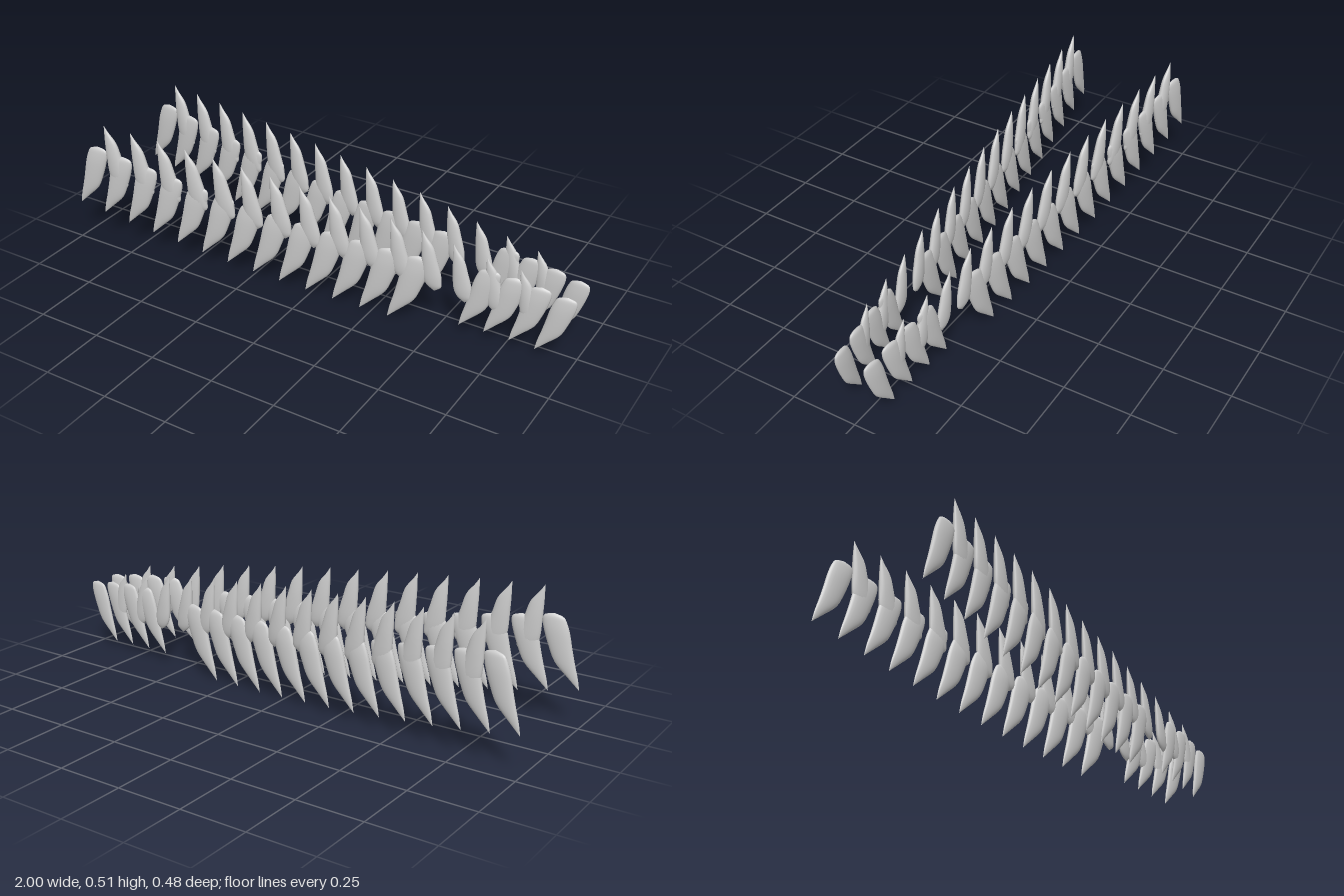
import * as THREE from 'three';

// Outline rows in hundredths of a unit from the tip at (0, 0): [left, right, y, half thickness]
const HANGING = [
  [0, 0, 0, 0], [0.8, 4.6, 4.3, 0.65], [2.1, 9.4, 9.1, 1.15], [3.4, 11.9, 14.4, 1.4],
  [4.6, 13.8, 19.8, 1.45], [5.9, 14.6, 23.5, 1.2], [7.3, 14.1, 25.6, 0.8], [10.6, 11, 26.6, 0],
];
const RISING = [
  [5.2, 5.5, -23.2, 0], [2.6, 7.8, -21.4, 0.8], [1.2, 8, -19.2, 1.2], [0.5, 7.6, -16, 1.4],
  [0.2, 6, -10.7, 1.4], [0, 4.4, -5.9, 1.05], [0, 1.6, -2.4, 0.5], [0, 0, 0, 0],
];

// Lofts flattened elliptical rings through a smoothed outline
function toothGeometry(rows) {
  const left = new THREE.CatmullRomCurve3(rows.map(r => new THREE.Vector3(r[0], r[2], r[3])), false, 'catmullrom');
  const right = new THREE.CatmullRomCurve3(rows.map(r => new THREE.Vector3(r[1], r[2], r[3])), false, 'catmullrom');
  const rings = 24, sides = 18, pos = [], index = [];
  for (let i = 0; i <= rings; i++) {
    const l = left.getPoint(i / rings), r = right.getPoint(i / rings);
    for (let j = 0; j < sides; j++) {
      const a = (j / sides) * Math.PI * 2;
      pos.push(
        ((l.x + r.x) / 2 + ((r.x - l.x) / 2) * Math.cos(a)) / 100,
        l.y / 100,
        (Math.max(l.z, 0) * Math.sin(a)) / 100);
      if (i === rings) continue;
      const k = (j + 1) % sides, p = i * sides, q = p + sides;
      index.push(p + j, q + j, p + k, q + j, q + k, p + k);
    }
  }
  const g = new THREE.BufferGeometry();
  g.setAttribute('position', new THREE.Float32BufferAttribute(pos, 3));
  g.setIndex(index);
  g.computeVertexNormals();
  return g;
}

export function createModel() {
  const model = new THREE.Group();
  const material = new THREE.MeshStandardMaterial({ color: 0xcccccc, roughness: 0.7 });
  const hanging = toothGeometry(HANGING), rising = toothGeometry(RISING);

  // Each row: tip positions from back to front, z line (base, slope), size range
  const rows = [
    { name: 'upperLongRow', tooth: hanging, count: 13, x: [-1, 0.315], y: [0.155, 0.055, 0.008], z: [0.139, 0.094], size: [1, 1.07] },
    { name: 'lowerLongRow', tooth: rising, count: 12, x: [-0.857, 0.437], y: [0.518, 0.475, 0.4], z: [0.139, 0.094], size: [1.12, 1] },
    { name: 'upperShortRow', tooth: hanging, count: 4, x: [0.588, 0.866], y: [0.056, 0.053, 0.043], z: [0.134, 0.078], size: [0.97, 0.9] },
    { name: 'lowerShortRow', tooth: rising, count: 3, x: [0.554, 0.796], y: [0.378, 0.361, 0.345], z: [0.134, 0.078], size: [0.96, 0.9] },
  ];

  // Both sides of the jaw converge toward +x
  for (const side of [1, -1]) {
    for (const row of rows) {
      const group = new THREE.Group();
      group.name = (side > 0 ? 'front' : 'back') + row.name[0].toUpperCase() + row.name.slice(1);
      for (let i = 0; i < row.count; i++) {
        const t = i / (row.count - 1), [y0, y1, y2] = row.y;
        const x = THREE.MathUtils.lerp(row.x[0], row.x[1], t);
        // Quadratic through the back, middle and front tip heights
        const y = y0 * (1 - t) * (1 - 2 * t) + 4 * y1 * t * (1 - t) + y2 * t * (2 * t - 1);
        const tooth = new THREE.Mesh(row.tooth, material);
        tooth.name = 'tooth';
        tooth.position.set(x, y, side * (row.z[0] - row.z[1] * x));
        tooth.rotation.y = side * Math.atan(row.z[1]);
        tooth.scale.setScalar(THREE.MathUtils.lerp(row.size[0], row.size[1], t));
        group.add(tooth);
      }
      model.add(group);
    }
  }
  return model;
}
